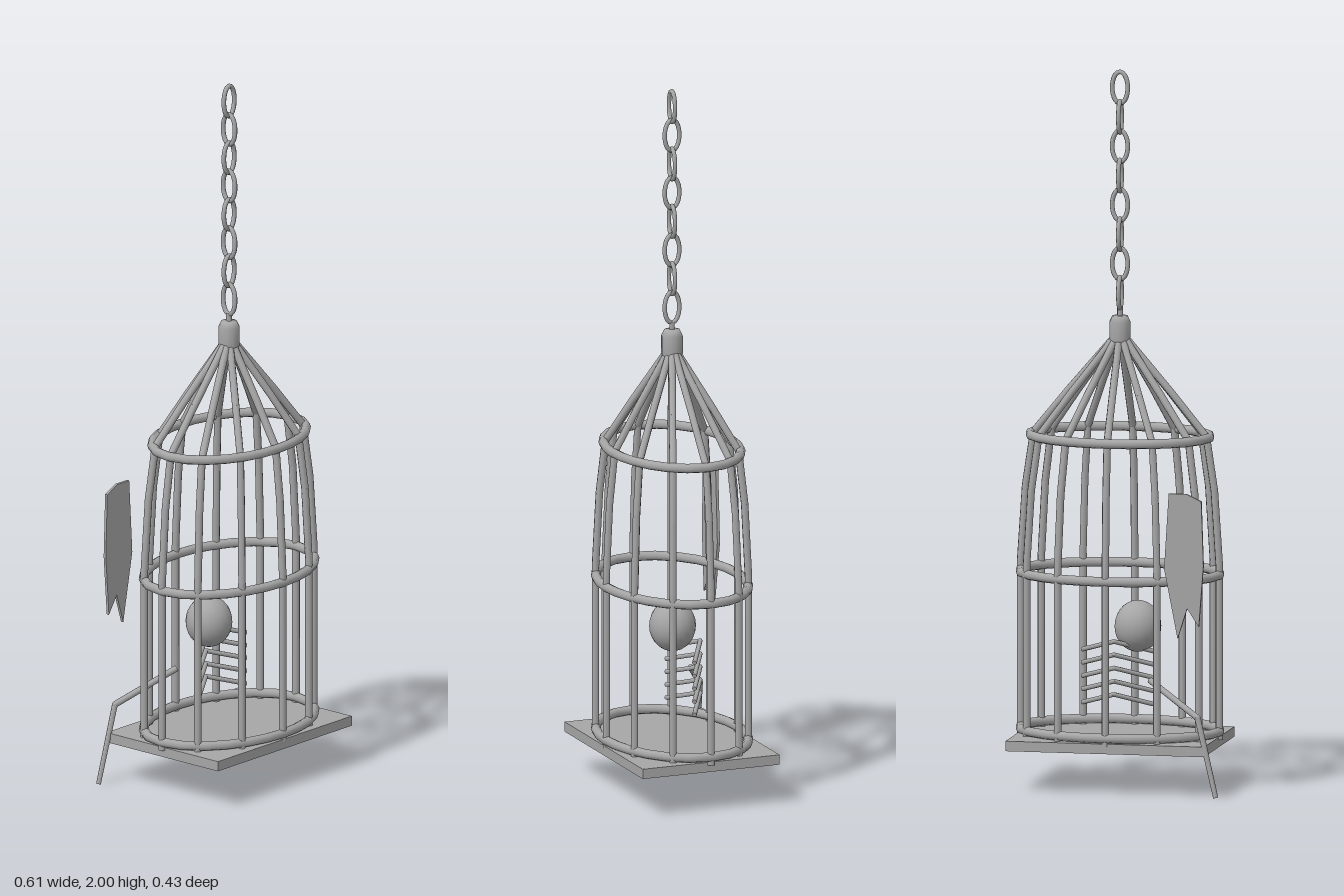
import * as THREE from 'three';

const V = (x, y, z) => new THREE.Vector3(x, y, z);

export function createModel() {
  const model = new THREE.Group();
  model.name = 'hangingCage';
  const iron = new THREE.MeshStandardMaterial({ color: 0xa6a6a6 });
  iron.name = 'grey iron';

  const add = (name, geometry, parent = model) => {
    const mesh = new THREE.Mesh(geometry, iron);
    mesh.name = name;
    parent.add(mesh);
    return mesh;
  };
  const group = (name, x = 0) => {
    const g = new THREE.Group();
    g.name = name;
    g.position.x = x;
    model.add(g);
    return g;
  };
  // Straight round rod between two points
  const rod = (name, a, b, r, parent, rEnd = r) => {
    const dir = b.clone().sub(a);
    const mesh = add(name, new THREE.CylinderGeometry(rEnd, r, dir.length(), 8), parent);
    mesh.position.copy(a).add(b).multiplyScalar(0.5);
    mesh.quaternion.setFromUnitVectors(V(0, 1, 0), dir.normalize());
    return mesh;
  };
  // Rods end to end through a list of points, with rounded joints
  const bentRod = (name, pts, r, parent) => {
    for (let i = 0; i < pts.length - 1; i++) {
      rod(name, pts[i], pts[i + 1], r, parent);
      if (i > 0) add(name + 'Joint', new THREE.SphereGeometry(r, 8, 6), parent).position.copy(pts[i]);
    }
  };
  // Closed tube of even thickness along an ellipse
  const ovalTube = (point, count, r) => {
    const pts = [];
    for (let i = 0; i < count; i++) {
      const a = (i / count) * Math.PI * 2;
      pts.push(point(Math.cos(a), Math.sin(a)));
    }
    return new THREE.TubeGeometry(new THREE.CatmullRomCurve3(pts, true), 24, r, 8, true);
  };

  const CX = 0.013, RX = 0.281, RZ = 0.197;
  const cage = group('cage', CX);

  // Twelve bars, bent in at the top
  const profile = [[0.06, 1.25], [0.52, 1.1], [0.87, 0.98], [0.95, 0.83], [1, 0.62], [1, 0.135]];
  for (let i = 0; i < 12; i++) {
    const a = (i / 12) * Math.PI * 2;
    bentRod('bar', profile.map(([s, y]) => V(Math.cos(a) * RX * s, y, Math.sin(a) * RZ * s)), 0.0105, cage);
  }

  // Oval hoops
  for (const [name, y, s] of [['lowerHoop', 0.157, 1], ['middleHoop', 0.595, 1], ['upperHoop', 0.978, 0.9]]) {
    add(name, ovalTube((c, n) => V(c * RX * s, y, n * RZ * s), 24, 0.0135), cage);
  }

  // Floor plate
  add('floor', new THREE.BoxGeometry(0.562, 0.028, 0.41), cage).position.y = 0.129;

  // Cap where the bars meet
  const cap = [[0, 1.232], [0.026, 1.232], [0.03, 1.245], [0.03, 1.295], [0.022, 1.312], [0, 1.314]];
  add('cap', new THREE.LatheGeometry(cap.map(([x, y]) => new THREE.Vector2(x, y)), 12), cage);

  // Chain of links, each turned a quarter from the last
  const chain = group('chain', CX);
  const linkGeometry = ovalTube((c, n) => V(c * 0.022, n * 0.044, 0), 16, 0.0065);
  for (let i = 0; i < 8; i++) {
    const link = add('link', linkGeometry, chain);
    link.position.y = 1.9495 - i * 0.082;
    link.rotation.y = (i % 2) * Math.PI / 2;
  }
  rod('chainPin', V(0, 1.305, 0), V(0, 1.335, 0), 0.008, chain);

  // Remains: skull, ribs and a dangling arm
  const remains = group('remains');
  const skull = add('skull', new THREE.SphereGeometry(1, 20, 14), remains);
  skull.scale.set(0.065, 0.072, 0.065);
  skull.position.set(-0.043, 0.45, -0.025);
  for (let i = 0; i < 5; i++) {
    const y = 0.232 + i * 0.037;
    bentRod('rib', [V(-0.09, y, -0.025), V(0.012, y + 0.033, -0.085), V(0.114, y, -0.025)], 0.0065, remains);
  }
  const elbow = V(-0.247, 0.222, -0.192);
  rod('upperArm', V(-0.093, 0.31, -0.1), elbow, 0.009, remains);
  add('elbow', new THREE.SphereGeometry(0.009, 8, 6), remains).position.copy(elbow);
  rod('forearm', elbow, V(-0.301, 0.002, -0.205), 0.0085, remains, 0.007);

  // Torn cloth hanging outside the back
  const outline = [[-0.262, 0.83], [-0.22, 0.85], [-0.17, 0.85], [-0.157, 0.64], [-0.195, 0.445],
    [-0.222, 0.53], [-0.255, 0.48], [-0.268, 0.65]];
  const cloth = new THREE.Shape(outline.map(([x, y]) => new THREE.Vector2(x, y)));
  add('cloth', new THREE.ExtrudeGeometry(cloth, { depth: 0.008, bevelEnabled: false })).position.z = -0.215;

  return model;
}
